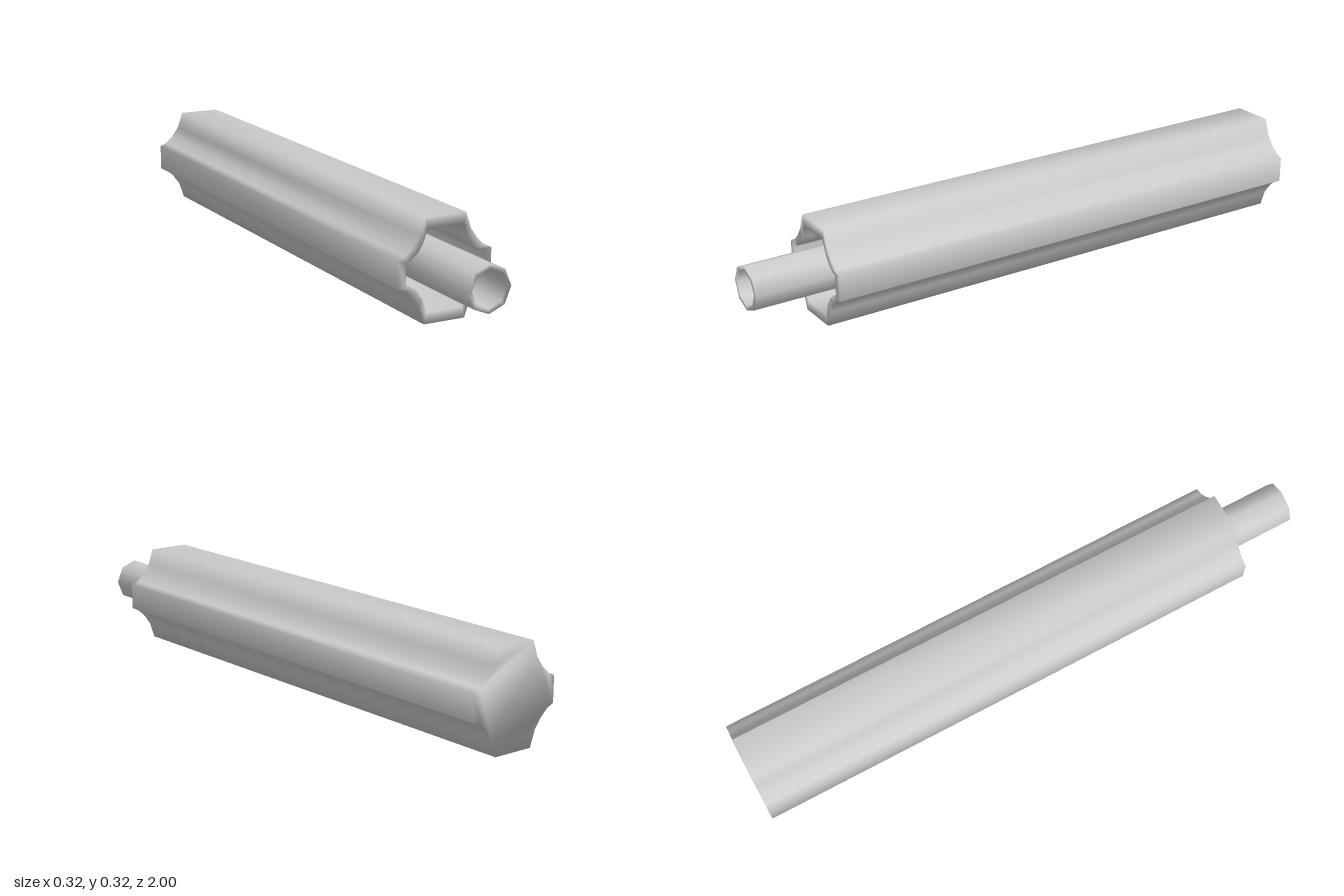
import * as THREE from 'three';

const CENTRE_Y = 0.1625;

// Mirror one quarter outline (top edge to side edge) into a full loop, anticlockwise from the front
function mirrorQuarter(quarter) {
  const back = [...quarter].reverse();
  return [
    ...back,
    ...quarter.map(([x, y]) => [-x, y]),
    ...back.map(([x, y]) => [-x, -y]),
    ...quarter.map(([x, y]) => [x, -y]),
  ];
}

// Octagon with one corner pointing up
function octagon(radius) {
  return Array.from({ length: 8 }, (_, i) => {
    const a = (i * Math.PI) / 4;
    return [radius * Math.cos(a), radius * Math.sin(a)];
  });
}

// Skin a series of [outline, z] sections with shared, smooth vertices; cap the ends
function skin(sections, capStart, capEnd) {
  const n = sections[0][0].length;
  const positions = [];
  const index = [];
  for (const [outline, z] of sections) {
    for (const [x, y] of outline) positions.push(x, y, z);
  }
  for (let s = 0; s < sections.length - 1; s++) {
    for (let i = 0; i < n; i++) {
      const j = (i + 1) % n;
      const a = s * n + i, b = s * n + j, c = b + n, d = a + n;
      index.push(a, b, c, a, c, d);
    }
  }
  const cap = (s, flip) => {
    const points = sections[s][0].map(([x, y]) => new THREE.Vector2(x, y));
    for (const [a, b, c] of THREE.ShapeUtils.triangulateShape(points, [])) {
      if (flip) index.push(s * n + a, s * n + c, s * n + b);
      else index.push(s * n + a, s * n + b, s * n + c);
    }
  };
  if (capStart) cap(0, true);
  if (capEnd) cap(sections.length - 1, false);

  const geometry = new THREE.BufferGeometry();
  geometry.setAttribute('position', new THREE.Float32BufferAttribute(positions, 3));
  geometry.setIndex(index);
  geometry.computeVertexNormals();
  return geometry;
}

export function createModel() {
  const group = new THREE.Group();
  const material = new THREE.MeshStandardMaterial({ color: 0xcccccc, side: THREE.DoubleSide });
  const add = (name, geometry) => {
    const mesh = new THREE.Mesh(geometry, material);
    mesh.name = name;
    mesh.position.y = CENTRE_Y;
    group.add(mesh);
  };

  // Fluted casing: closed back, flat rim, deep recess in the front
  const outer = mirrorQuarter([[0.07, 0.1625], [0.088, 0.11], [0.113, 0.0755], [0.138, 0.053], [0.161, 0.043]]);
  const inner = mirrorQuarter([[0.061, 0.127], [0.077, 0.084], [0.096, 0.056], [0.115, 0.041], [0.133, 0.034]]);
  add('casing', skin([[outer, -1], [outer, 0.765], [inner, 0.765], [inner, 0.3]], true, true));

  // Octagonal tube rising from the recess, with a blind bore
  const tube = octagon(0.074);
  const bore = octagon(0.059);
  add('innerTube', skin([[tube, 0.3], [tube, 1], [bore, 1], [bore, 0.5]], false, true));

  return group;
}
